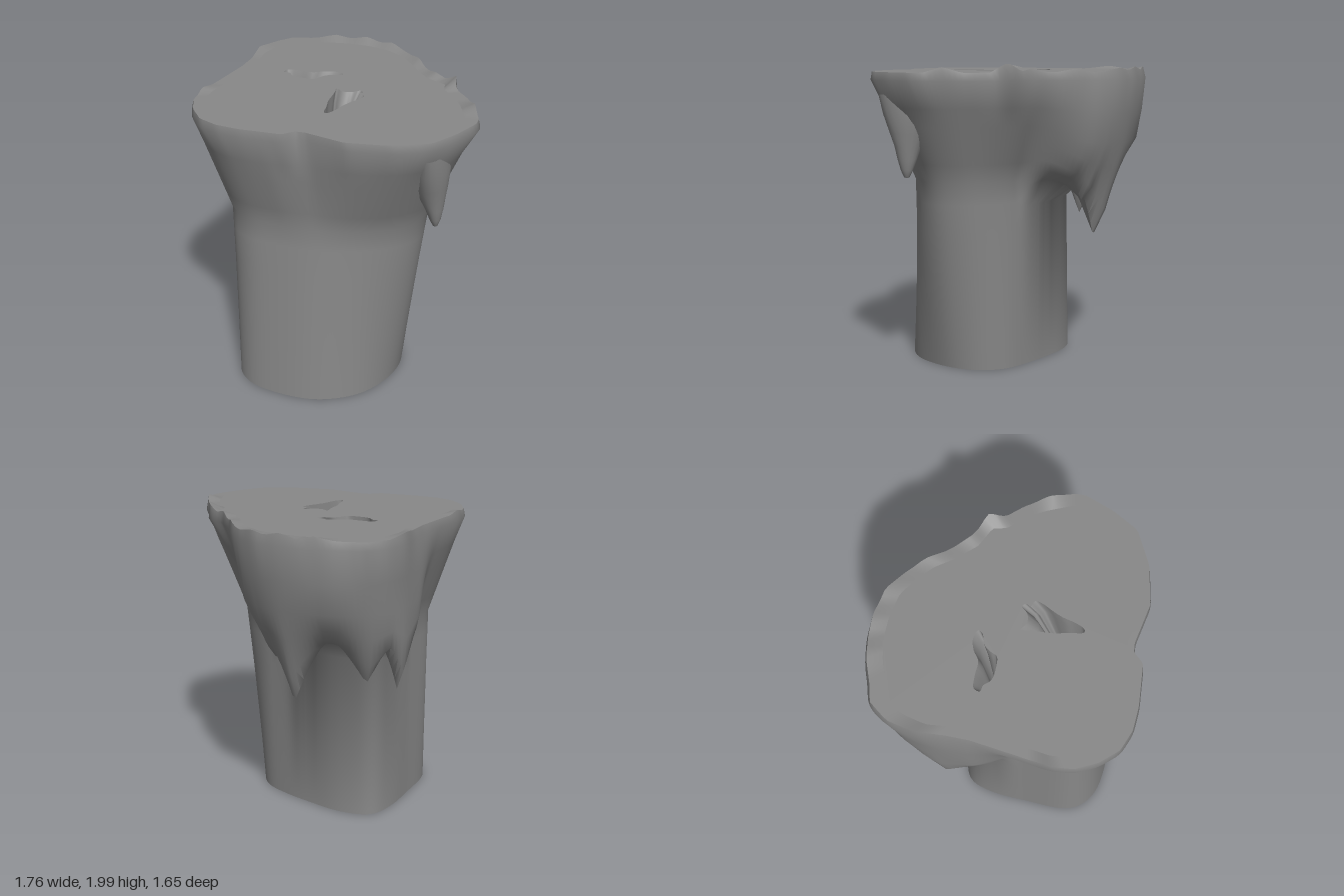
import * as THREE from 'three';
import { toCreasedNormals } from 'three/addons/utils/BufferGeometryUtils.js';

const N = 180, CX = -0.12, CZ = 0.23, TOP = 1.94, NECK = 1.24;
const { lerp, smoothstep, degToRad, mapLinear } = THREE.MathUtils;

// Outlines as x, z pairs
const topOutline = [-.88, .38, -.865, .52, -.8, .65, -.7, .76, -.57, .81, -.42, .82, -.15, .8, -.09, .735, -.03, .73,
  .23, .78, .49, .73, .71, .62, .81, .45, .88, .27, .88, .2, .8, .02, .73, -.09, .62, -.21, .6, -.3, .45, -.37,
  .32, -.51, .24, -.62, .13, -.72, 0, -.8, -.15, -.83, -.31, -.83, -.47, -.8, -.6, -.75, -.71, -.72, -.8, -.6,
  -.84, -.43, -.82, -.25, -.82, -.1, -.85, .15];
const neckOutline = [-.64, .5, -.5, .61, -.3, .64, 0, .63, .3, .53, .5, .38, .57, .22, .5, .02, .3, -.13, .1, -.2,
  -.1, -.24, -.35, -.25, -.55, -.2, -.62, -.05, -.645, .2];
const footOutline = [-.62, .55, -.5, .68, -.3, .73, 0, .71, .25, .55, .38, .28, .38, .05, .28, -.1, .1, -.18,
  -.1, -.23, -.35, -.27, -.55, -.22, -.615, -.05, -.63, .2];
const holeA = [-.5, -.14, -.42, -.15, -.33, -.15, -.27, -.19, -.2, -.21, -.14, -.19, -.16, -.16, -.22, -.14,
  -.26, -.09, -.28, -.05, -.35, -.04, -.43, -.05, -.47, -.09, -.51, -.1];
const holeB = [-.09, .05, -.04, .08, .02, .07, .06, .03, .08, .05, .07, .08, .11, .1, .1, .15, .07, .21, .04, .28,
  .02, .36, -.01, .42, -.03, .42, -.05, .33, -.07, .25, -.08, .12];

const pairs = (a) => Array.from({ length: a.length / 2 }, (_, i) => new THREE.Vector2(a[2 * i], a[2 * i + 1]));
const angleOf = (x, z) => Math.atan2(z - CZ, x - CX);
const angleGap = (a, b) => Math.abs(Math.atan2(Math.sin(a - b), Math.cos(a - b)));

// Closed smooth curve through an outline
function rounded(outline) {
  const points = pairs(outline).map((p) => new THREE.Vector3(p.x, p.y, 0));
  const curve = new THREE.CatmullRomCurve3(points, true, 'centripetal');
  return curve.getPoints(points.length * 4).slice(0, -1).map((p) => new THREE.Vector2(p.x, p.y));
}

// Radius of an outline along N even directions from the trunk axis
function radii(p) {
  const out = [];
  for (let i = 0; i < N; i++) {
    const t = (i / N) * Math.PI * 2, c = Math.cos(t), s = Math.sin(t);
    let best = 0;
    p.forEach((a, k) => {
      const b = p[(k + 1) % p.length];
      const ax = a.x - CX, az = a.y - CZ, ex = b.x - a.x, ez = b.y - a.y;
      const den = c * ez - s * ex;
      if (Math.abs(den) < 1e-9) return;
      const r = (ax * ez - az * ex) / den, u = (ax * s - az * c) / den;
      if (u >= -1e-6 && u <= 1 + 1e-6 && r > best) best = r;
    });
    out.push(best);
  }
  return out;
}

// Running average, so rim notches fade out below the rim
function softened(r, span) {
  return r.map((_, i) => {
    let sum = 0;
    for (let k = -span; k <= span; k++) sum += r[(i + k + N) % N];
    return sum / (2 * span + 1);
  });
}

// Skin through closed rings of [x, y, z] points
function loft(rings) {
  const n = rings[0].length, index = [];
  for (let j = 0; j < rings.length - 1; j++)
    for (let i = 0; i < n; i++) {
      const a = j * n + i, b = j * n + (i + 1) % n;
      index.push(a, b, a + n, b, b + n, a + n);
    }
  const g = new THREE.BufferGeometry();
  g.setAttribute('position', new THREE.Float32BufferAttribute(rings.flat(2), 3));
  g.setIndex(index);
  g.computeVertexNormals();
  return g;
}

// Drips under the skirt: x, z, depth, angular half width
const drips = [[-.16, -.5, .41, .26], [-.64, -.5, .25, .22], [-.75, -.26, .34, .19], [0, -.6, .15, .11]];
// Small peaks on the rim: x, z, height
const peaks = [[.59, -.27, .06], [.82, .06, .035], [-.42, -.81, .025], [-.2, -.83, .03], [0, -.8, .025], [.26, -.58, .02],
  [.45, -.38, .025], [-.84, .35, .02], [-.83, -.42, .02]];
// Single drip at the left side: y, centre x, half width in x, half width in z
const sideDrip = [[1.8, .66, .08, .2], [1.68, .65, .1, .17], [1.56, .645, .095, .125], [1.48, .65, .08, .09],
  [1.4, .665, .055, .065], [1.33, .672, .035, .04], [1.285, .675, .015, .018], [1.28, .675, .001, .001]];

export function createModel() {
  const group = new THREE.Group();
  const material = new THREE.MeshStandardMaterial({ color: 0x888888, side: THREE.DoubleSide });
  const add = (name, geometry) => {
    const mesh = new THREE.Mesh(geometry, material);
    mesh.name = name;
    group.add(mesh);
  };

  const rTop = radii(pairs(topOutline)), rRim = softened(rTop, 1), rHead = softened(rTop, 6);
  const rNeck = softened(radii(rounded(neckOutline)), 2), rFoot = softened(radii(rounded(footOutline)), 2);
  const rings = Array.from({ length: 11 }, () => []);

  for (let i = 0; i < N; i++) {
    const t = (i / N) * Math.PI * 2, deg = (i / N) * 360;
    // Overhanging skirt around the back, fullest at the right corner
    const w = smoothstep(deg, 186, 208) * (1 - smoothstep(deg, 284, 312));
    const bulge = 1 - smoothstep(angleGap(t, angleOf(-.75, -.2)), .1, .4);
    const edge = 1.25 + .13 * smoothstep(deg, 282, 304);
    let spike = 0, peak = 0;
    for (const [x, z, depth, half] of drips)
      spike = Math.max(spike, depth * Math.max(0, 1 - angleGap(t, angleOf(x, z)) / half) ** 1.25);
    for (const [x, z, h] of peaks)
      peak = Math.max(peak, h * Math.max(0, 1 - angleGap(t, angleOf(x, z)) / degToRad(7)));

    const put = (j, r, y) => rings[j].push([CX + r * Math.cos(t), y, CZ + r * Math.sin(t)]);
    // Plain flared trunk at plainY, blending to the skirt at skirtY where it hangs out
    const body = (j, plainY, skirtY, out) => {
      const y = lerp(plainY, skirtY, w);
      const flare = Math.max(0, (y - NECK) / .65);
      const trunk = lerp(rFoot[i], rNeck[i], Math.min(1, y / NECK));
      put(j, lerp(trunk, rHead[i], lerp(flare, Math.max(flare, out), w)), y);
    };
    put(0, rTop[i] * .9, TOP);
    put(1, rTop[i] * .985, TOP + peak);
    put(2, rRim[i], 1.89);
    body(3, 1.72, 1.68, .96);
    body(4, 1.6, lerp(1.68, edge, .45), .9);
    body(5, 1.48, edge + .12 - spike * .25, .78 + .1 * bulge);
    body(6, 1.36, edge + .03 - spike * .65, .66 + .12 * bulge);
    body(7, 1.24, edge - spike, .53);
    body(8, 1.1, edge - .03 - spike * .1, .3);
    body(9, .9, edge - .18, 0);
    body(10, 0, 0, 0);
  }
  add('trunkAndSkirt', toCreasedNormals(loft(rings), 1.2));

  // Single hanging drip
  add('sideDrip', loft(sideDrip.map(([y, x, hx, hz]) => Array.from({ length: 20 }, (_, i) => {
    const a = (i / 20) * Math.PI * 2;
    return [x + hx * Math.cos(a), y, .385 + hz * Math.sin(a)];
  }))));

  // Flat top face with two ragged openings
  const openings = [holeA, holeB].map(rounded);
  const face = new THREE.Shape(rings[0].map(([x, , z]) => new THREE.Vector2(x, -z)));
  for (const h of openings)
    face.holes.push(new THREE.Path(h.map((p) => new THREE.Vector2(p.x, -p.y))));
  add('topFace', new THREE.ShapeGeometry(face).rotateX(-Math.PI / 2).translate(0, TOP, 0));

  // Walls of the openings, narrowing toward the front on the way down: x and z range of the lower end
  [['backOpening', -.47, -.25, -.085, -.04], ['frontOpening', -.065, .045, .22, .415]].forEach(([name, x0, x1, z0, z1], k) => {
    const { min, max } = new THREE.Box2().setFromPoints(openings[k]);
    const ring = (f, y) => openings[k].map((p) => [
      lerp(p.x, mapLinear(p.x, min.x, max.x, x0, x1), f), y,
      lerp(p.y, mapLinear(p.y, min.y, max.y, z0, z1), f)]).reverse();
    add(name, toCreasedNormals(loft([ring(0, TOP), ring(.4, 1.87), ring(1, 1.6)]), 0.9));
  });
  return group;
}
